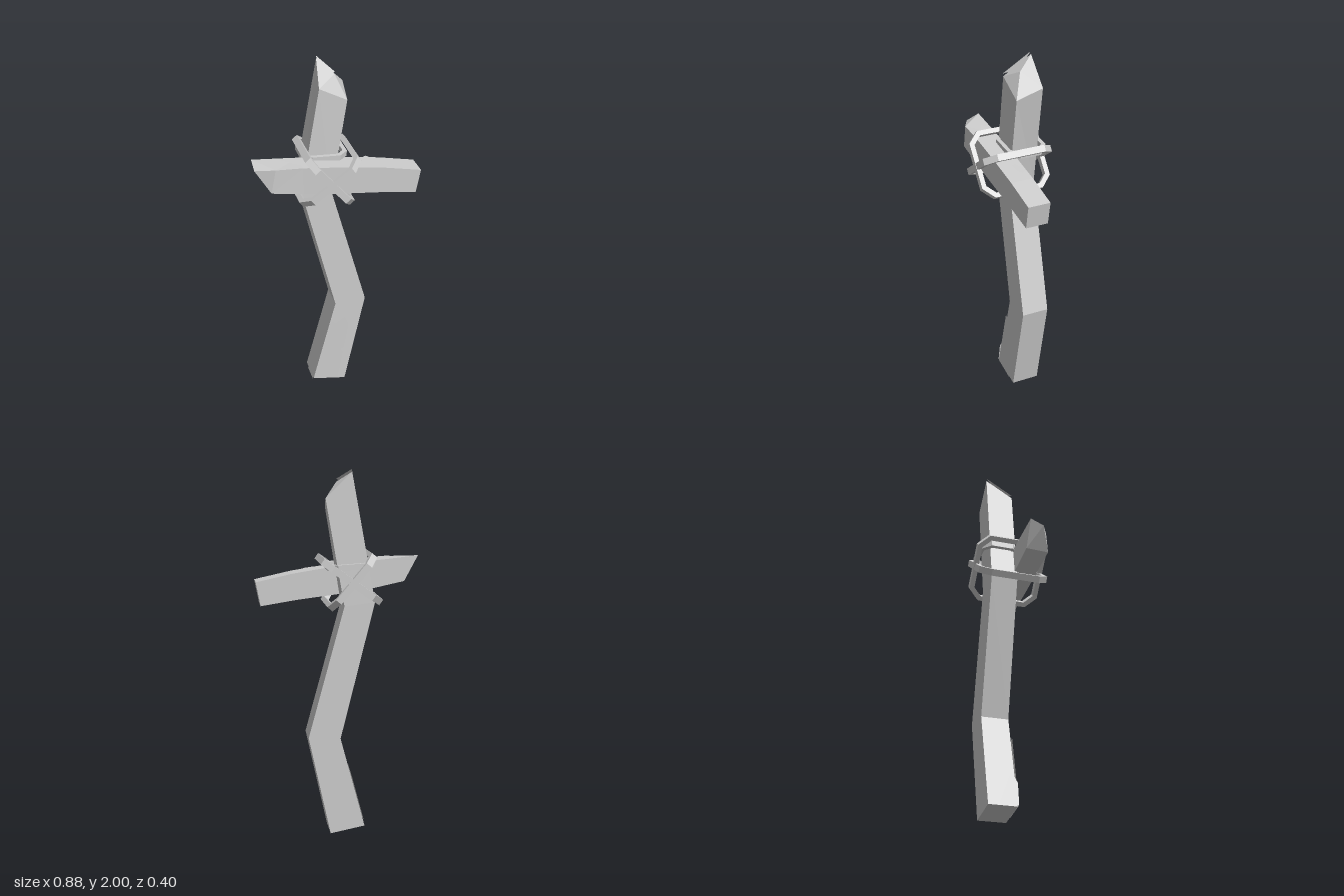
import * as THREE from 'three';

const stone = new THREE.MeshStandardMaterial({ color: 0xcccccc, flatShading: true });
stone.name = 'palegrey';
const chipMat = new THREE.MeshStandardMaterial({ color: 0xcccccc, flatShading: true, side: THREE.DoubleSide });
chipMat.name = 'palegrey thin';

function mesh(geometry, name, material = stone) {
  const m = new THREE.Mesh(geometry, material);
  m.name = name;
  return m;
}

// Joins four-cornered rings into a solid; the ends are flat or fan out to a point.
function loft(rings, startPoint, endPoint) {
  const pos = [];
  const tri = (...p) => p.forEach((v) => pos.push(...v));
  for (let i = 0; i < rings.length - 1; i++) {
    for (let j = 0; j < 4; j++) {
      const k = (j + 1) % 4;
      const a = rings[i][j], b = rings[i][k], c = rings[i + 1][k], d = rings[i + 1][j];
      tri(a, d, c);
      tri(a, c, b);
    }
  }
  const mid = (r) => [0, 1, 2].map((n) => (r[0][n] + r[1][n] + r[2][n] + r[3][n]) / 4);
  const first = rings[0], last = rings[rings.length - 1];
  const s = startPoint || mid(first), e = endPoint || mid(last);
  for (let j = 0; j < 4; j++) {
    const k = (j + 1) % 4;
    tri(first[j], first[k], s);
    tri(last[k], last[j], e);
  }
  const g = new THREE.BufferGeometry();
  g.setAttribute('position', new THREE.Float32BufferAttribute(pos, 3));
  g.computeVertexNormals();
  return g;
}

// Rectangular band with cut corners; length runs along x, depth along z.
function band(length, depth, wall, width, cut) {
  const outline = (l, d, c) => {
    const x = l / 2, y = d / 2;
    return [[-x + c, -y], [x - c, -y], [x, -y + c], [x, y - c], [x - c, y], [-x + c, y], [-x, y - c], [-x, -y + c]]
      .map(([u, v]) => new THREE.Vector2(u, v));
  };
  const shape = new THREE.Shape(outline(length, depth, cut));
  shape.holes.push(new THREE.Path(outline(length - 2 * wall, depth - 2 * wall, cut - wall * 0.58)));
  const g = new THREE.ExtrudeGeometry(shape, { depth: width, bevelEnabled: false });
  g.translate(0, 0, -width / 2);
  g.rotateX(Math.PI / 2);
  return g;
}

const flat = (points) =>
  new THREE.ShapeGeometry(new THREE.Shape(points.map(([x, y]) => new THREE.Vector2(x, y))));

export function createModel() {
  const model = new THREE.Group();
  model.name = 'lashedCross';

  // Bent upright: left x, left y, right x, right y, back z, front z
  const postRings = [
    [-0.135, 0.04, 0.055, 0.005, -0.125, 0.03],
    [0.0, 0.55, 0.175, 0.56, -0.125, 0.025],
    [-0.185, 1.3, -0.02, 1.28, -0.128, 0.018],
  ].map(([lx, ly, rx, ry, b, f]) => [[lx, ly, b], [rx, ry, b], [rx, ry, f], [lx, ly, f]]);
  const backTip = [-0.06, 1.985, -0.125], frontLeft = [-0.085, 1.88, 0.02], peak = [0.01, 1.93, -0.03];
  postRings.push([backTip, [0.08, 1.85, -0.125], [0.065, 1.8, 0.015], frontLeft]);
  model.add(mesh(loft(postRings, null, peak), 'post'));

  // Crossbar in front of the post: x top, y top, x bottom, y bottom
  const barRings = [
    [-0.2, 1.505, -0.2, 1.355],
    [0.0, 1.48, -0.02, 1.328],
    [0.24, 1.443, 0.22, 1.3],
    [0.44, 1.4, 0.415, 1.27],
  ].map(([tx, ty, bx, by]) => [[tx, ty, 0.128], [tx, ty, 0.006], [bx, by, 0.006], [bx, by, 0.128]]);
  barRings.unshift([[-0.345, 1.515, 0.13], [-0.445, 1.53, 0.008], [-0.37, 1.39, 0.008], [-0.37, 1.385, 0.13]]);
  model.add(mesh(loft(barRings, [-0.445, 1.5, 0.08]), 'crossbar'));

  // Two diagonal bands crossing front and back, and a small one around the post
  [
    ['fallingBand', 0.37, 0.395, -0.06, 1.41, -0.87],
    ['risingBand', 0.385, 0.39, -0.06, 1.41, 0.62],
  ].forEach(([name, length, depth, x, y, angle]) => {
    const m = mesh(band(length, depth, 0.026, 0.036, 0.06), name);
    m.position.set(x, y, 0);
    m.rotation.z = angle;
    model.add(m);
  });
  const collar = mesh(band(0.25, 0.22, 0.022, 0.03, 0.05), 'postBand');
  collar.position.set(-0.055, 1.495, -0.065);
  collar.rotation.z = -0.06;
  model.add(collar);

  // Thin chips on the foot of the post
  const footChip = mesh(flat([
    [-0.135, 0.045], [0.012, 0.018], [0.045, 0.21], [0.032, 0.225], [0.05, 0.24],
    [0.078, 0.4], [0.055, 0.46], [0.0, 0.425], [-0.03, 0.44],
  ]), 'frontChip', chipMat);
  footChip.position.z = 0.036;
  model.add(footChip);

  const sideChip = mesh(flat([
    [-0.035, 0], [0.07, 0], [0.075, 0.13], [0.045, 0.2], [0.04, 0.3], [0.0, 0.35], [-0.035, 0.27],
  ]), 'sideChip', chipMat);
  sideChip.rotation.set(0, -Math.PI / 2, 0);
  const sideGroup = new THREE.Group();
  sideGroup.name = 'sideChipMount';
  sideGroup.position.set(-0.142, 0.045, -0.035);
  sideGroup.rotation.z = -0.257;
  sideGroup.add(sideChip);
  model.add(sideGroup);

  // Thin chips on top of the crossbar, drawn as x and z
  [
    [[[-0.305, 0.055], [-0.28, 0.022], [-0.2, 0.03], [-0.125, 0.06], [-0.125, 0.095], [-0.2, 0.11]], 1.487],
    [[[0.11, 0.05], [0.17, 0.012], [0.198, 0.04], [0.17, 0.063], [0.12, 0.065]], 1.488],
  ].forEach(([points, y]) => {
    const g = flat(points.map(([x, z]) => [x, -z]));
    g.rotateX(-Math.PI / 2);
    g.rotateZ(-0.13);
    const m = mesh(g, 'barChip', chipMat);
    m.position.y = y;
    model.add(m);
  });

  // Thin flake standing just off the tip
  const flake = new THREE.BufferGeometry().setFromPoints(
    [frontLeft, peak, backTip].map(([x, y, z]) => new THREE.Vector3(x, y + 0.015, z + 0.003)));
  flake.computeVertexNormals();
  model.add(mesh(flake, 'tipFlake', chipMat));

  return model;
}
